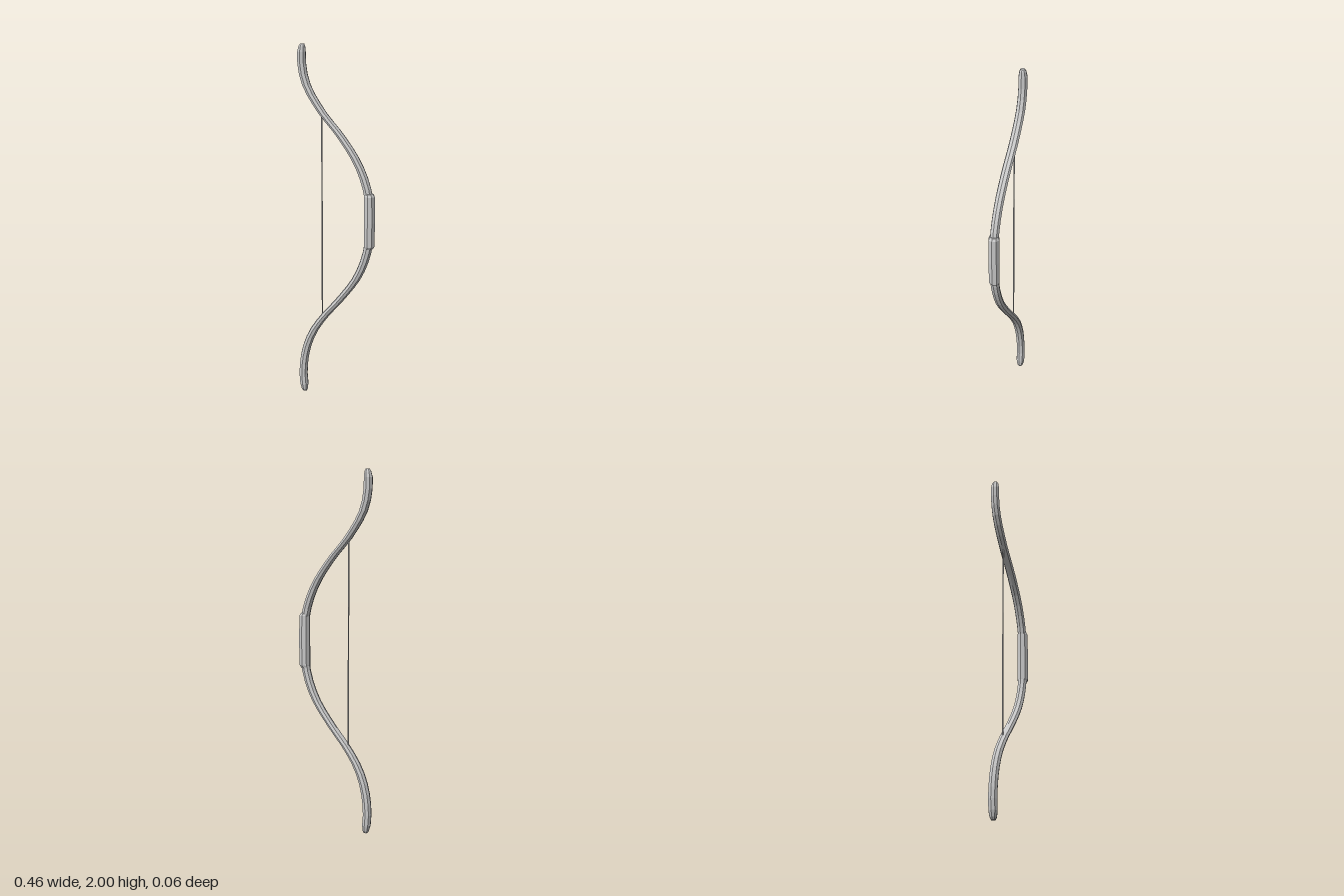
import * as THREE from 'three';

const SIDES = 8;
const mat = new THREE.MeshStandardMaterial({ color: 0xcccccc, flatShading: true });

// Stack of level octagons; each ring is [x, y, radius], listed from top to bottom
function stack(name, rings) {
  const geo = new THREE.CylinderGeometry(1, 1, 1, SIDES, rings.length - 1);
  const pos = geo.attributes.position;
  for (let i = 0; i < pos.count; i++) {
    const row = Math.round((0.5 - pos.getY(i)) * (rings.length - 1));
    const [x, y, r] = rings[row];
    pos.setXYZ(i, x + pos.getX(i) * r, y, pos.getZ(i) * r);
  }
  geo.computeVertexNormals();
  const mesh = new THREE.Mesh(geo, mat);
  mesh.name = name;
  return mesh;
}

export function createModel() {
  const bow = new THREE.Group();
  bow.name = 'bow';

  // Recurved centre line, tip to tip
  const line = [
    [-0.2, 2], [-0.205, 1.92], [-0.18, 1.79], [-0.09, 1.645], [0.03, 1.51],
    [0.125, 1.375], [0.178, 1.25], [0.199, 1.14], [0.2, 1.05], [0.197, 0.95],
    [0.178, 0.85], [0.125, 0.725], [0.03, 0.595], [-0.085, 0.46], [-0.15, 0.36],
    [-0.19, 0.25], [-0.207, 0.12], [-0.198, 0],
  ];
  const curve = new THREE.CatmullRomCurve3(line.map(([x, y]) => new THREE.Vector3(x, y, 0)));

  // Limbs: constant octagon that closes into a small dome at both tips
  const steps = [0, 0.006, 0.02];
  for (let i = 1; i < 36; i++) steps.push(0.02 + (0.96 * i) / 36);
  steps.push(0.98, 0.994, 1);
  const tipRadius = [0.012, 0.019, 0.025];
  const limbs = steps.map((t, i) => {
    const p = curve.getPointAt(t);
    const fromEnd = Math.min(i, steps.length - 1 - i);
    return [p.x, p.y, tipRadius[Math.min(fromEnd, 2)]];
  });
  bow.add(stack('limbs', limbs));

  // Grip: thicker sleeve with bevelled ends
  bow.add(stack('grip', [
    [0.194, 1.21, 0.024], [0.197, 1.195, 0.031], [0.199, 1.05, 0.032],
    [0.197, 0.915, 0.031], [0.193, 0.9, 0.024],
  ]));

  // String between the two limbs
  bow.add(stack('string', [[-0.085, 1.645, 0.004], [-0.085, 0.46, 0.004]]));

  return bow;
}
